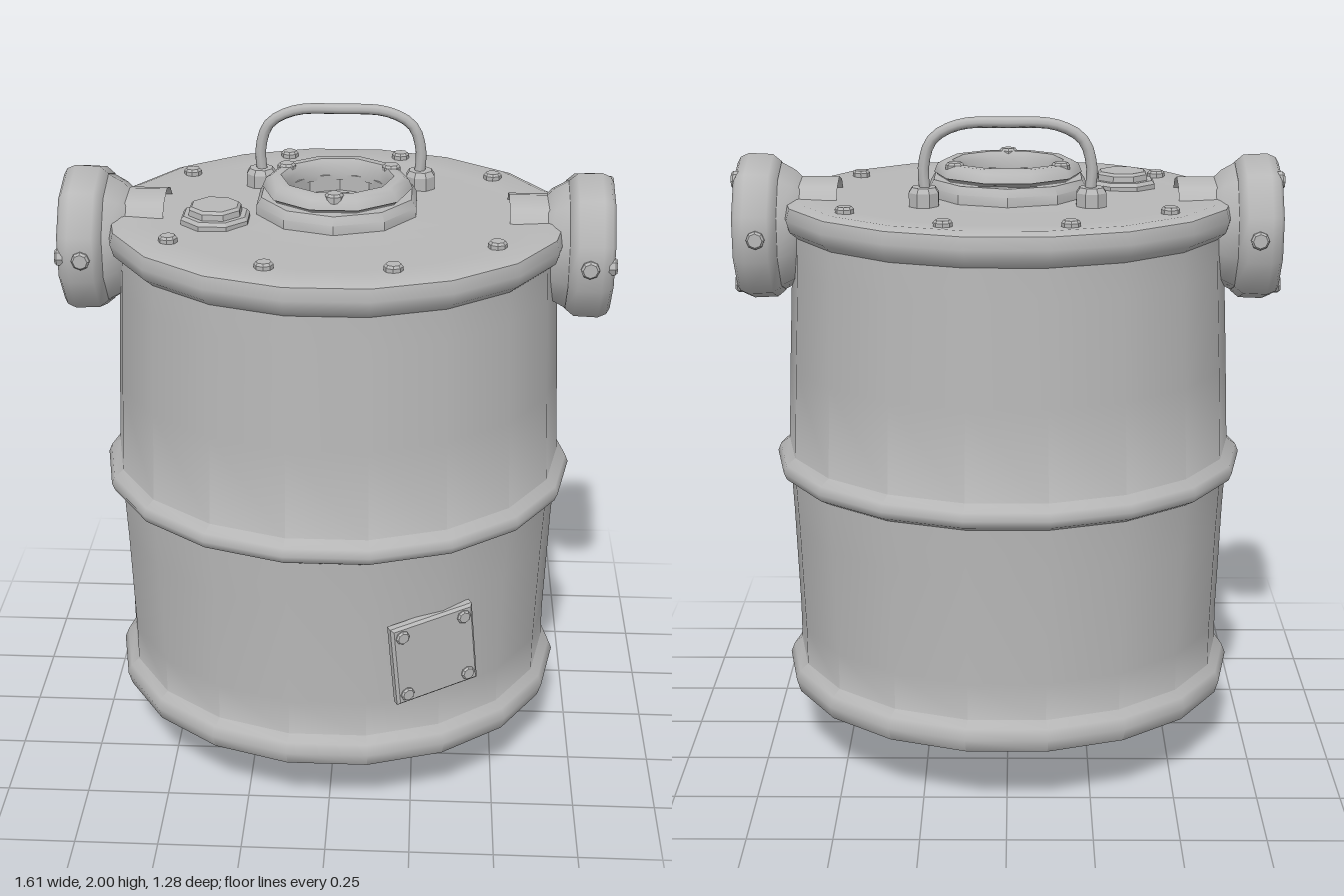
import * as THREE from 'three';
import { toCreasedNormals } from 'three/addons/utils/BufferGeometryUtils.js';

const V2 = (a) => a.map(([x, y]) => new THREE.Vector2(x, y));

export function createModel() {
  const model = new THREE.Group();
  const metal = new THREE.MeshStandardMaterial({ color: 0xb8b8b8, side: THREE.DoubleSide });

  function add(name, geometry, parent = model, x = 0, y = 0, z = 0) {
    const mesh = new THREE.Mesh(geometry, metal);
    mesh.name = name;
    mesh.position.set(x, y, z);
    parent.add(mesh);
    return mesh;
  }
  const lathe = (profile, sides, start = 0, crease = 0.7) =>
    toCreasedNormals(new THREE.LatheGeometry(V2(profile), sides, start), crease);

  // Oval barrel: open bottom cone, three rolled hoops and a lid with a hole
  const barrel = add('barrel', lathe([
    [0.17, 0.115], [0.21, 0.115], [0.64, 0.197], [0.685, 0.215], [0.697, 0.255], [0.685, 0.285],
    [0.66, 0.305], [0.66, 0.42], [0.67, 0.75], [0.677, 0.9], [0.705, 0.915], [0.714, 0.937],
    [0.705, 0.96], [0.677, 0.98], [0.665, 1.25], [0.65, 1.55], [0.646, 1.645], [0.67, 1.665],
    [0.68, 1.7], [0.67, 1.735], [0.64, 1.746], [0.54, 1.742], [0.15, 1.75],
  ], 18, Math.PI / 18, 0.9));
  barrel.scale.z = 0.91;

  // Small domed bolt standing along +y
  const boltGeometry = lathe([[0.027, -0.01], [0.027, 0.008], [0.021, 0.015], [0, 0.015]], 8, 0, 0.5);

  // Ring flange along +y with bolts on its face and rim
  function flange(name, depth, rimBolts) {
    const group = new THREE.Group();
    group.name = name;
    model.add(group);
    add('ring', lathe([
      [0.15, 0], [0.195, 0], [0.216, 0.025], [0.219, depth - 0.035], [0.208, depth - 0.01],
      [0.19, depth], [0.165, depth], [0.15, depth - 0.02], [0.15, 0],
    ], 10, Math.PI / 10, 0.9), group);
    for (let i = 0; i < 3; i++) {
      const a = (i * Math.PI * 2) / 3;
      add('faceBolt', boltGeometry, group, 0.178 * Math.sin(a), depth - 0.008, 0.178 * Math.cos(a));
    }
    if (rimBolts) {
      for (const s of [1, -1]) {
        const bolt = add('rimBolt', boltGeometry, group, 0, depth * 0.45, s * 0.205);
        bolt.rotation.x = s * Math.PI / 2;
      }
    }
    return group;
  }

  // Side ports with a neck running into the barrel
  for (const s of [1, -1]) {
    const port = flange(s > 0 ? 'leftPort' : 'rightPort', 0.13, true);
    port.position.set(s * 0.67, 1.645, -0.01);
    port.rotation.z = -s * Math.PI / 2;
    add('neck', new THREE.CylinderGeometry(0.15, 0.15, 0.2, 12, 1, true), port, 0, -0.07, 0);
    add('collar', lathe([[0.15, -0.06], [0.17, -0.04], [0.195, 0.005]], 10, Math.PI / 10), port);
  }

  // Bottom outlet
  const outlet = flange('bottomOutlet', 0.108, true);
  outlet.position.set(0, 0.118, -0.005);
  outlet.rotation.x = Math.PI;
  outlet.rotation.y = Math.PI;

  // Filler opening on the lid
  const filler = flange('topFiller', 0.06, false);
  filler.position.set(0, 1.785, -0.01);
  add('fillerBase', lathe([
    [0.15, 1.74], [0.243, 1.74], [0.243, 1.775], [0.228, 1.798], [0.15, 1.798], [0.15, 1.74],
  ], 10, 0, 0.6), model, 0, 0, -0.01);

  // Ring of lid bolts
  for (const s of [1, -1]) {
    for (const [x, z] of [[0.175, -0.5], [0.46, -0.31], [0.46, 0.29], [0.175, 0.48]]) {
      add('lidBolt', boltGeometry, model, s * x, 1.747, z);
    }
  }

  // Small plug on the lid
  add('plug', lathe([
    [0.104, 1.735], [0.104, 1.758], [0.095, 1.768], [0.08, 1.768], [0.078, 1.785],
    [0.07, 1.793], [0, 1.793],
  ], 8, Math.PI / 8, 0.5), model, -0.345, 0, 0.112);

  // Carrying handle and its two sockets
  const path = new THREE.CatmullRomCurve3([
    [-0.235, 1.77], [-0.24, 1.86], [-0.215, 1.935], [-0.14, 1.977], [0, 1.984],
    [0.14, 1.977], [0.215, 1.935], [0.24, 1.86], [0.235, 1.77],
  ].map(([x, y]) => new THREE.Vector3(x, y, -0.21)));
  add('handle', new THREE.TubeGeometry(path, 28, 0.016, 8));
  for (const s of [1, -1]) {
    add('handleSocket', lathe([
      [0.046, 1.735], [0.046, 1.785], [0.036, 1.8], [0, 1.8],
    ], 8, Math.PI / 8, 0.5), model, s * 0.24, 0, -0.21);
  }

  // Tilted plate on the front, riveted at its corners
  const plate = new THREE.Group();
  plate.name = 'frontPlate';
  plate.position.set(0.305, 0.57, 0.533);
  plate.rotation.set(0, 0.48, 0.1);
  model.add(plate);
  add('plateSheet', new THREE.ExtrudeGeometry(new THREE.Shape(V2([
    [-0.125, -0.125], [0.125, -0.125], [0.125, 0.125], [-0.125, 0.125],
  ])), {
    depth: 0.02, bevelThickness: 0.008, bevelSize: 0.008, bevelSegments: 1,
  }), plate, 0, 0, -0.005);
  for (const x of [-0.1, 0.1]) {
    for (const y of [-0.1, 0.1]) {
      const rivet = add('plateRivet', boltGeometry, plate, x, y, 0.02);
      rivet.rotation.x = Math.PI / 2;
      rivet.scale.set(0.8, 0.8, 0.8);
    }
  }
  return model;
}
